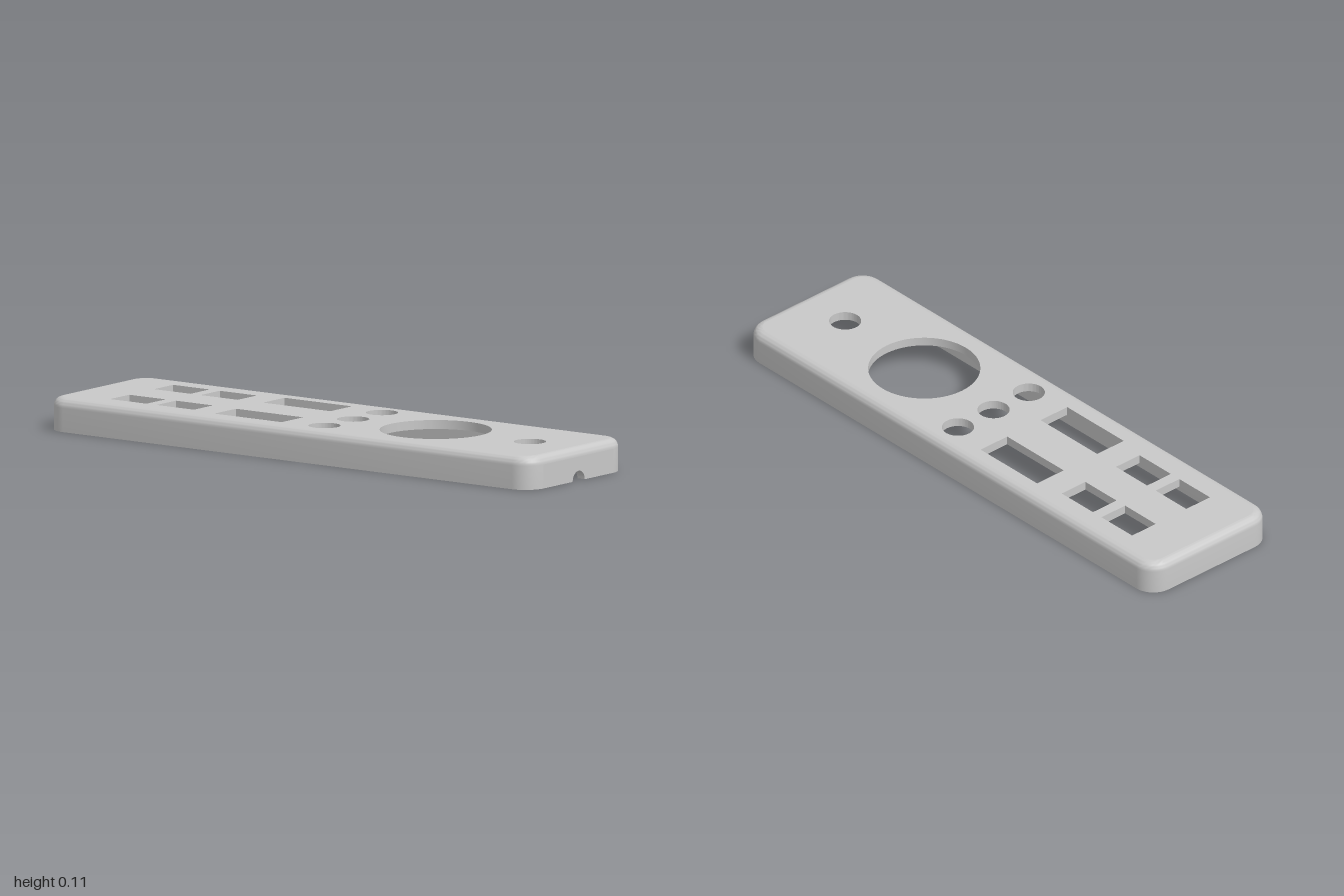
import * as THREE from 'three';
import { mergeGeometries, toCreasedNormals } from 'three/addons/utils/BufferGeometryUtils.js';

const HX = 1, HZ = 0.267;      // half length and half width
const R = 0.075, T = 0.03;     // corner radius, wall thickness and edge rounding
const TOP = 0.11, LID = TOP - T;
const CX = HX - R, CZ = HZ - R;

// Rounded-rectangle outline; it starts and ends at the flat +x end
function outline(r) {
  const pts = [], n = 10;
  [[1, 1], [-1, 1], [-1, -1], [1, -1]].forEach(([sx, sz], k) => {
    for (let i = 0; i <= n; i++) {
      const a = (k + i / n) * Math.PI / 2;
      pts.push([sx * CX + r * Math.cos(a), sz * CZ + r * Math.sin(a)]);
    }
  });
  return pts;
}

// Sweep a profile of [corner radius, y] around the outline
function loft(profile, closed) {
  const rings = profile.map(([r, y]) => outline(r).map(([x, z]) => [x, y, z]));
  const n = rings[0].length, pos = [];
  for (let j = 0; j < rings.length - 1; j++) {
    for (let i = 0; i < (closed ? n : n - 1); i++) {
      const k = (i + 1) % n;
      const a = rings[j][i], b = rings[j + 1][i], c = rings[j + 1][k], d = rings[j][k];
      pos.push(...a, ...b, ...d, ...b, ...c, ...d);
    }
  }
  const g = new THREE.BufferGeometry();
  g.setAttribute('position', new THREE.Float32BufferAttribute(pos, 3));
  g.computeVertexNormals();
  return g;
}

function rectHole(x0, x1, z0, z1) {
  return new THREE.Path([[x0, -z0], [x0, -z1], [x1, -z1], [x1, -z0]]
    .map(p => new THREE.Vector2(...p)));
}

function roundHole(x, z, r) {
  return new THREE.Path().absarc(x, -z, r, 0, Math.PI * 2, false);
}

export function createModel() {
  const model = new THREE.Group();
  model.name = 'panelCover';
  const grey = new THREE.MeshStandardMaterial({ color: 0xc8c8c8 });
  grey.name = 'grey';
  const add = (name, geometry) => {
    const mesh = new THREE.Mesh(toCreasedNormals(geometry, 0.5), grey);
    mesh.name = name;
    model.add(mesh);
  };

  // Side walls, open at the +x end, with the rounded upper edge
  const wall = loft([[R - T, LID], [R - T, 0], [R, 0], [R, LID]], false);
  const round = [];
  for (let i = 0; i <= 8; i++) {
    const a = i / 8 * Math.PI / 2;
    round.push([R - T + T * Math.cos(a), LID + T * Math.sin(a)]);
  }
  add('sideWalls', mergeGeometries([wall, loft(round, true)]));

  // End wall with the half-round cable notch
  const end = new THREE.Shape();
  end.moveTo(-CZ, 0);
  end.lineTo(-0.033, 0);
  end.absarc(0, 0, 0.033, Math.PI, 0, true);
  end.lineTo(CZ, 0);
  end.lineTo(CZ, LID);
  end.lineTo(-CZ, LID);
  const endGeo = new THREE.ExtrudeGeometry(end, { depth: T, bevelEnabled: false, curveSegments: 20 });
  endGeo.rotateY(Math.PI / 2).translate(HX - T, 0, 0);
  add('notchedEndWall', endGeo);

  // Face plate with its cut-outs
  const rim = outline(R - T).reverse().map(([x, z]) => new THREE.Vector2(x, -z));
  const plate = new THREE.Shape(rim);
  for (const [z0, z1] of [[-0.176, -0.071], [0.065, 0.17]]) {
    plate.holes.push(rectHole(-0.803, -0.653, z0, z1), rectHole(-0.611, -0.458, z0, z1));
  }
  plate.holes.push(rectHole(-0.358, -0.081, -0.195, -0.077), rectHole(-0.358, -0.081, 0.072, 0.19));
  for (const z of [-0.158, 0, 0.157]) plate.holes.push(roundHole(0.071, z, 0.053));
  plate.holes.push(roundHole(0.411, 0, 0.185), roundHole(0.799, 0, 0.053));
  const plateGeo = new THREE.ExtrudeGeometry(plate, { depth: T, bevelEnabled: false, curveSegments: 48 });
  plateGeo.rotateX(-Math.PI / 2).translate(0, LID, 0);
  add('facePlate', plateGeo);

  return model;
}
